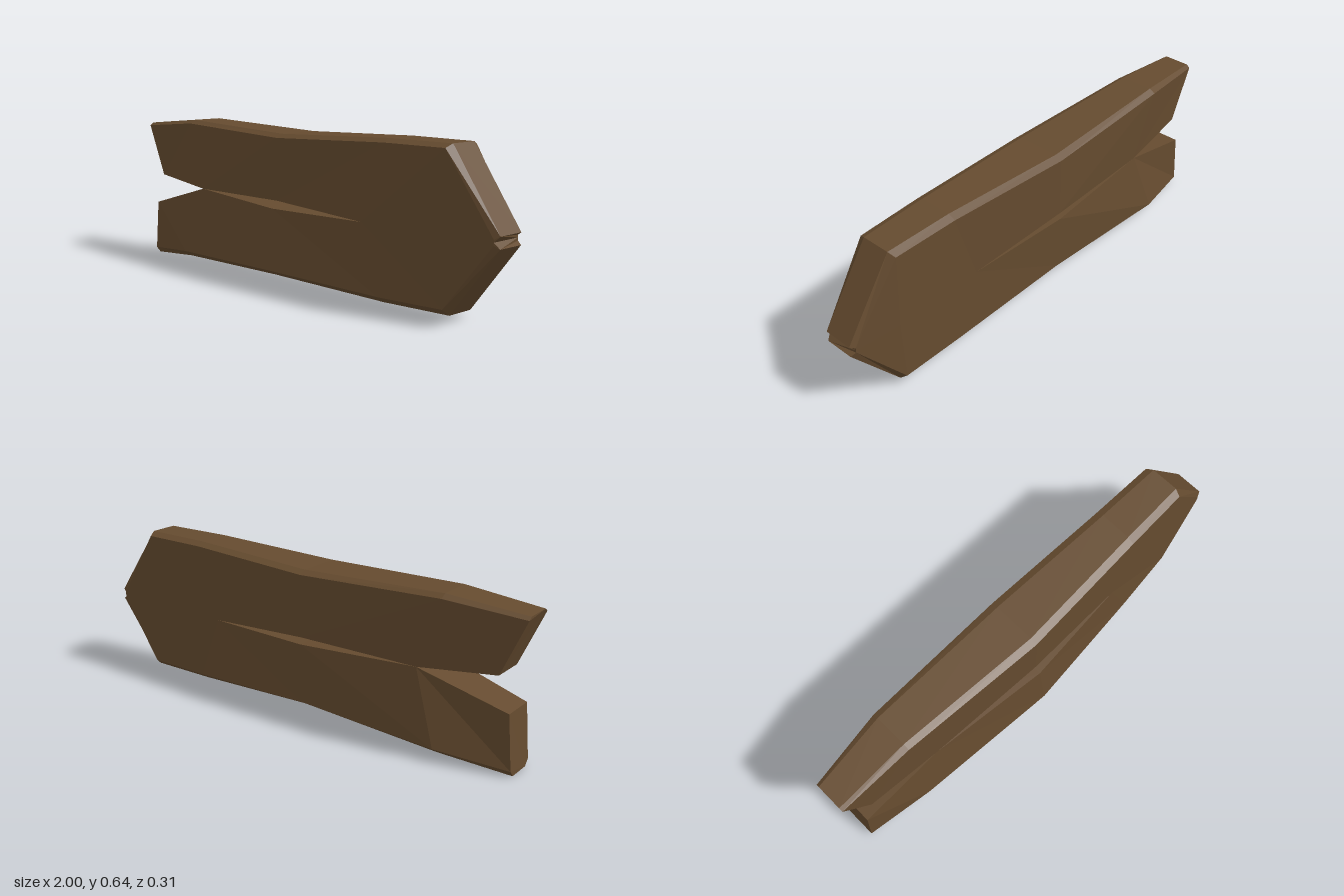
import * as THREE from 'three';

const wood = new THREE.MeshStandardMaterial({ color: 0x654b2f });
wood.name = 'brown wood';

// Each station: outer x, outer y, inner x, inner y,
// front z (outer, inner), back z (outer, inner), bevel (x, y, z)
const upperStations = [
  [-1.0, 0.615, -0.9, 0.38, 0.05, 0.05, -0.09, -0.09, 0, 0.012, 0.015],
  [-0.68, 0.645, -0.58, 0.347, 0.06, 0.07, -0.13, -0.12, 0, 0.015, 0.025],
  [-0.06, 0.625, -0.06, 0.355, 0.1, 0.1, -0.14, -0.14, 0, 0.015, 0.03],
  [0.5, 0.645, 0.4, 0.325, 0.08, 0.09, -0.115, -0.115, 0, 0.015, 0.03],
  [0.79, 0.645, 0.79, 0.323, 0.07, 0.07, -0.11, -0.11, -0.01, 0.015, 0.03],
  [1.0, 0.345, 0.98, 0.323, 0.05, 0.05, -0.09, -0.09, -0.02, 0.012, 0.01],
];
const lowerStations = [
  [-0.97, 0.0, -0.95, 0.245, 0.05, 0.05, -0.09, -0.09, 0, 0.025, 0.02],
  [-0.68, 0.03, -0.58, 0.347, 0.1, 0.07, -0.153, -0.12, 0, 0.025, 0.035],
  [-0.06, 0.05, -0.06, 0.325, 0.152, 0.124, -0.132, -0.141, 0, 0.025, 0.045],
  [0.5, 0.03, 0.4, 0.325, 0.1, 0.09, -0.115, -0.115, 0, 0.025, 0.035],
  [0.79, 0.03, 0.79, 0.323, 0.07, 0.07, -0.11, -0.11, -0.01, 0.025, 0.03],
  [1.0, 0.3, 0.98, 0.323, 0.05, 0.05, -0.09, -0.09, -0.02, 0.012, 0.01],
];

// Loft a six-sided bevelled section along the board; side is +1 for upper, -1 for lower
function plank(name, stations, side) {
  const n = 6;
  const positions = [];
  const index = [];
  const tri = (a, b, c) => (side > 0 ? index.push(a, b, c) : index.push(a, c, b));

  for (const [xo, yo, xi, yi, fo, fi, bo, bi, bx, by, bz] of stations) {
    positions.push(
      xo, yo, fo - bz,
      xo, yo, bo + bz,
      xo + bx, yo - side * by, bo,
      xi, yi, bi,
      xi, yi, fi,
      xo + bx, yo - side * by, fo,
    );
  }
  for (let i = 0; i < stations.length - 1; i++) {
    for (let j = 0; j < n; j++) {
      const a = i * n + j;
      const b = i * n + ((j + 1) % n);
      tri(a, a + n, b + n);
      tri(a, b + n, b);
    }
  }
  // End caps
  const last = (stations.length - 1) * n;
  for (let k = 1; k < n - 1; k++) {
    tri(0, k, k + 1);
    tri(last, last + k + 1, last + k);
  }

  const indexed = new THREE.BufferGeometry();
  indexed.setAttribute('position', new THREE.Float32BufferAttribute(positions, 3));
  indexed.setIndex(index);
  const geometry = indexed.toNonIndexed();
  geometry.computeVertexNormals(); // unshared corners give flat facets
  const mesh = new THREE.Mesh(geometry, wood);
  mesh.name = name;
  return mesh;
}

export function createModel() {
  const group = new THREE.Group();
  group.name = 'splitArrowBoard';
  group.add(plank('upperBoardHalf', upperStations, 1));
  group.add(plank('lowerBoardHalf', lowerStations, -1));
  return group;
}
